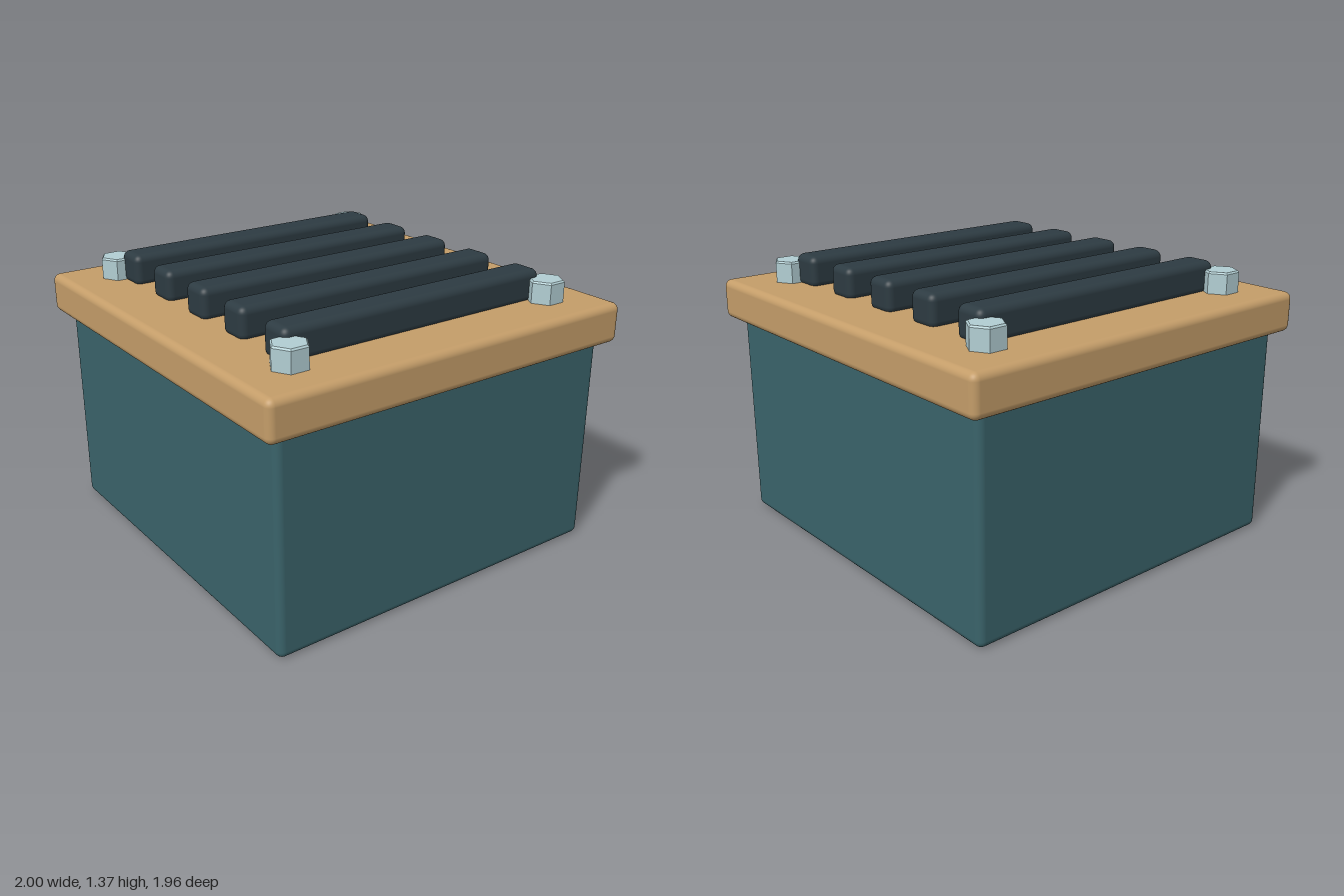
import * as THREE from 'three';
import { RoundedBoxGeometry } from 'three/addons/geometries/RoundedBoxGeometry.js';

function material(name, color) {
  const m = new THREE.MeshStandardMaterial({ color });
  m.name = name;
  return m;
}

export function createModel() {
  const group = new THREE.Group();
  group.name = 'slattedCrate';
  const teal = material('teal', 0x3a636a);
  const tan = material('tan', 0xc49d69);
  const slate = material('dark slate', 0x2d3b42);
  const steel = material('pale steel', 0xb2ced3);

  const add = (name, geometry, mat, x, y, z) => {
    const mesh = new THREE.Mesh(geometry, mat);
    mesh.name = name;
    mesh.position.set(x, y, z);
    group.add(mesh);
  };
  // Rounded box spanning y0 to y1
  const block = (name, mat, w, d, y0, y1, r, x = 0) =>
    add(name, new RoundedBoxGeometry(w, y1 - y0, d, 4, r), mat, x, (y0 + y1) / 2, 0);

  // Main box and overhanging lid
  block('body', teal, 1.88, 1.82, 0, 1.09, 0.035);
  block('lid', tan, 2, 1.96, 1.035, 1.23, 0.035);

  // Five parallel slats on the lid
  for (let i = -2; i <= 2; i++) {
    block('slat', slate, 0.16, 1.44, 1.215, 1.372, 0.035, i * 0.32);
  }

  // Hexagonal corner bolts with a fine top chamfer
  const profile = [[0.088, 0], [0.088, 0.117], [0.08, 0.125], [0, 0.125]]
    .map(([r, y]) => new THREE.Vector2(r, y));
  const hex = new THREE.LatheGeometry(profile, 6).toNonIndexed();
  hex.computeVertexNormals();
  for (const x of [-0.76, 0.76]) {
    for (const z of [-0.72, 0.72]) add('bolt', hex, steel, x, 1.21, z);
  }
  return group;
}
